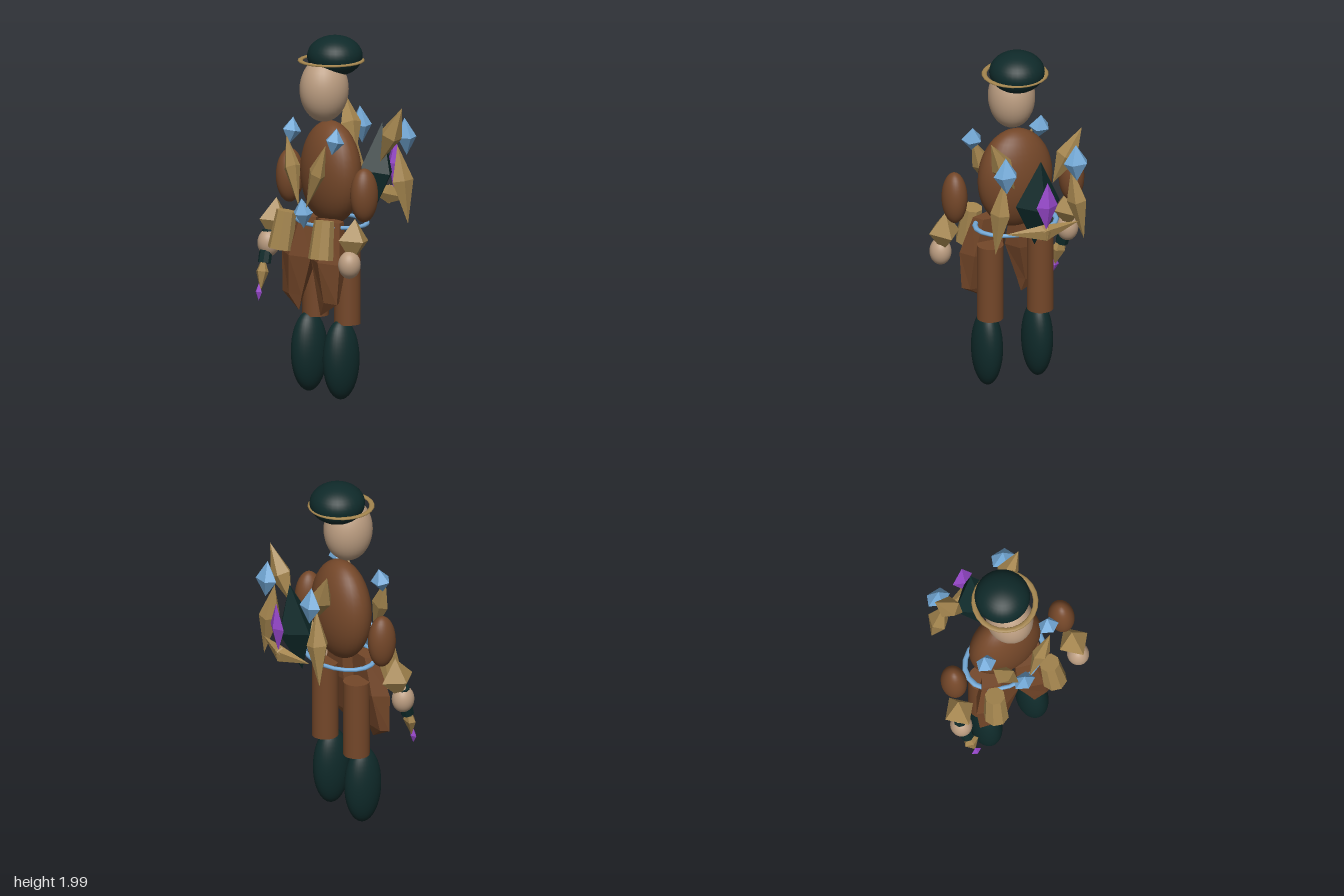
import * as THREE from 'three';

const mat = (name, color) => {
  const m = new THREE.MeshStandardMaterial({ color });
  m.name = name;
  return m;
};

export function createModel() {
  const root = new THREE.Group();
  root.name = 'figure';
  const dark = mat('dark teal', 0x0f2a2a);
  const brown = mat('leather brown', 0x744729);
  const gold = mat('dull gold', 0xa5864f);
  const blue = mat('crystal blue', 0x74aad8);
  const purple = mat('gem purple', 0x9848cc);
  const skin = mat('skin', 0xba9c80);

  const add = (name, geo, material, pos = [0, 0, 0]) => {
    const mesh = new THREE.Mesh(geo, material);
    mesh.name = name;
    mesh.position.set(...pos);
    root.add(mesh);
    return mesh;
  };

  // Faceted copy of a geometry
  const flat = (geo) => {
    const g = geo.toNonIndexed();
    g.computeVertexNormals();
    return g;
  };

  // Smooth ellipsoid
  const ball = (name, material, pos, radii) =>
    add(name, new THREE.SphereGeometry(1, 32, 20).scale(...radii), material, pos);

  // Faceted double pyramid between two points
  const crystal = (name, material, from, to, rx, rz, sides = 4, waist = 0.5) => {
    const a = new THREE.Vector3(...from), b = new THREE.Vector3(...to);
    const axis = b.clone().sub(a), len = axis.length();
    const profile = [[0, 0], [1, waist * len], [0, len]].map(([r, y]) => new THREE.Vector2(r, y));
    const geo = flat(new THREE.LatheGeometry(profile, sides).scale(rx, 1, rz));
    const mesh = add(name, geo, material, from);
    mesh.quaternion.setFromUnitVectors(new THREE.Vector3(0, 1, 0), axis.normalize());
    return mesh;
  };

  // Faceted tapered cylinder between two points
  const rod = (name, material, from, to, r0, r1, sides) => {
    const a = new THREE.Vector3(...from), b = new THREE.Vector3(...to);
    const axis = b.clone().sub(a);
    const geo = flat(new THREE.CylinderGeometry(r1, r0, axis.length(), sides));
    const mesh = add(name, geo, material, a.add(b).multiplyScalar(0.5).toArray());
    mesh.quaternion.setFromUnitVectors(new THREE.Vector3(0, 1, 0), axis.normalize());
    return mesh;
  };

  // Faceted skirt panel: five-sided rings [y, centre x, radius x, centre z, radius z]
  const panel = (s) => {
    const rings = [
      [0.475, 0.10, 0, 0.235, 0], [0.56, 0.165, 0.095, 0.225, 0.035],
      [0.78, 0.136, 0.142, 0.205, 0.075], [1.0, 0.11, 0.105, 0.17, 0.05], [1.0, 0.11, 0, 0.17, 0],
    ];
    const geo = new THREE.LatheGeometry(rings.map((r, i) => new THREE.Vector2(r[2] ? 1 : 0, i)), 5);
    const p = geo.attributes.position;
    for (let i = 0; i < p.count; i++) {
      const [y, cx, rx, cz, rz] = rings[Math.round(p.getY(i))];
      p.setXYZ(i, s * cx + p.getX(i) * rx, y, cz + p.getZ(i) * rz);
    }
    add('skirtPanel', flat(geo), brown);
  };

  // Head, cap and brim
  ball('head', skin, [0, 1.71, 0.139], [0.128, 0.18, 0.138]);
  ball('cap', dark, [0, 1.888, 0.067], [0.152, 0.112, 0.152]);
  add('capBrim', new THREE.TorusGeometry(0.169, 0.015, 8, 24).rotateX(Math.PI / 2).scale(1, 0.45, 1),
    gold, [0, 1.865, 0.092]);

  // Torso and belt
  ball('torso', brown, [0, 1.243, 0.093], [0.216, 0.287, 0.138]);
  add('belt', new THREE.TorusGeometry(0.232, 0.016, 8, 20).rotateX(Math.PI / 2).scale(1, 0.7, 0.73),
    blue, [0, 0.973, 0.085]);
  crystal('beltGem', blue, [0, 0.95, 0.275], [0, 1.12, 0.29], 0.066, 0.05, 5);

  for (const s of [-1, 1]) {
    // Arms
    ball('upperArm', brown, [s * 0.35, 1.173, 0.12], [0.069, 0.149, 0.08]);
    crystal('elbowGuard', gold, [s * 0.375, 0.815, 0.22], [s * 0.37, 1.055, 0.195], 0.09, 0.1);
    ball('hand', skin, [s * 0.38, 0.805, 0.24], [0.06, 0.076, 0.063]);

    // Legs
    add('leg', new THREE.CylinderGeometry(0.073, 0.073, 0.44, 24), brown, [s * 0.15, 0.645, 0.09]);
    ball('boot', dark, [s * 0.15, 0.23, 0.132], [0.083, 0.223, 0.109]);

    // Skirt and pouches
    panel(s);
    rod('pouch', gold, [s * 0.19, 0.81, 0.298], [s * 0.177, 1.02, 0.265], 0.07, 0.056, 8);

    // Chest and shoulder crystals
    crystal('chestCrystal', gold, [s * 0.035, 1.07, 0.285], [s * 0.185, 1.44, 0.26], 0.058, 0.04, 5, 0.55);
    crystal('shoulderGem', blue, [s * 0.2, 1.385, 0.23], [s * 0.205, 1.53, 0.2], 0.06, 0.053, 5);

    // Back crystals
    crystal('upperBackCrystal', gold, [s * 0.114, 1.29, -0.155], [s * 0.272, 1.61, -0.19], 0.065, 0.06, 5);
    crystal('lowerBackCrystal', gold, [s * 0.265, 0.96, -0.235], [s * 0.2, 1.39, -0.21], 0.055, 0.065, 5, 0.55);
    crystal('backGem', blue, [s * 0.21, 1.33, -0.265], [s * 0.21, 1.54, -0.25], 0.073, 0.052, 5);
  }

  // Backpack
  crystal('backpack', dark, [0, 0.945, -0.165], [0, 1.48, -0.25], 0.131, 0.11);
  crystal('backpackGem', purple, [0, 1.1, -0.325], [0, 1.39, -0.34], 0.063, 0.03);
  crystal('backpackBar', gold, [-0.22, 1.09, -0.27], [0.05, 1.07, -0.315], 0.055, 0.035, 5, 0.85);
  crystal('backpackBar', gold, [0.22, 1.09, -0.27], [-0.05, 1.07, -0.315], 0.055, 0.035, 5, 0.85);

  // Wand held in the right hand
  rod('wandHandle', dark, [-0.365, 0.7, 0.28], [-0.385, 0.875, 0.235], 0.036, 0.036, 8);
  crystal('wandShaft', gold, [-0.342, 0.55, 0.322], [-0.368, 0.74, 0.282], 0.046, 0.03, 5, 0.55);
  crystal('wandTip', purple, [-0.338, 0.5, 0.337], [-0.346, 0.595, 0.33], 0.03, 0.017);

  return root;
}
